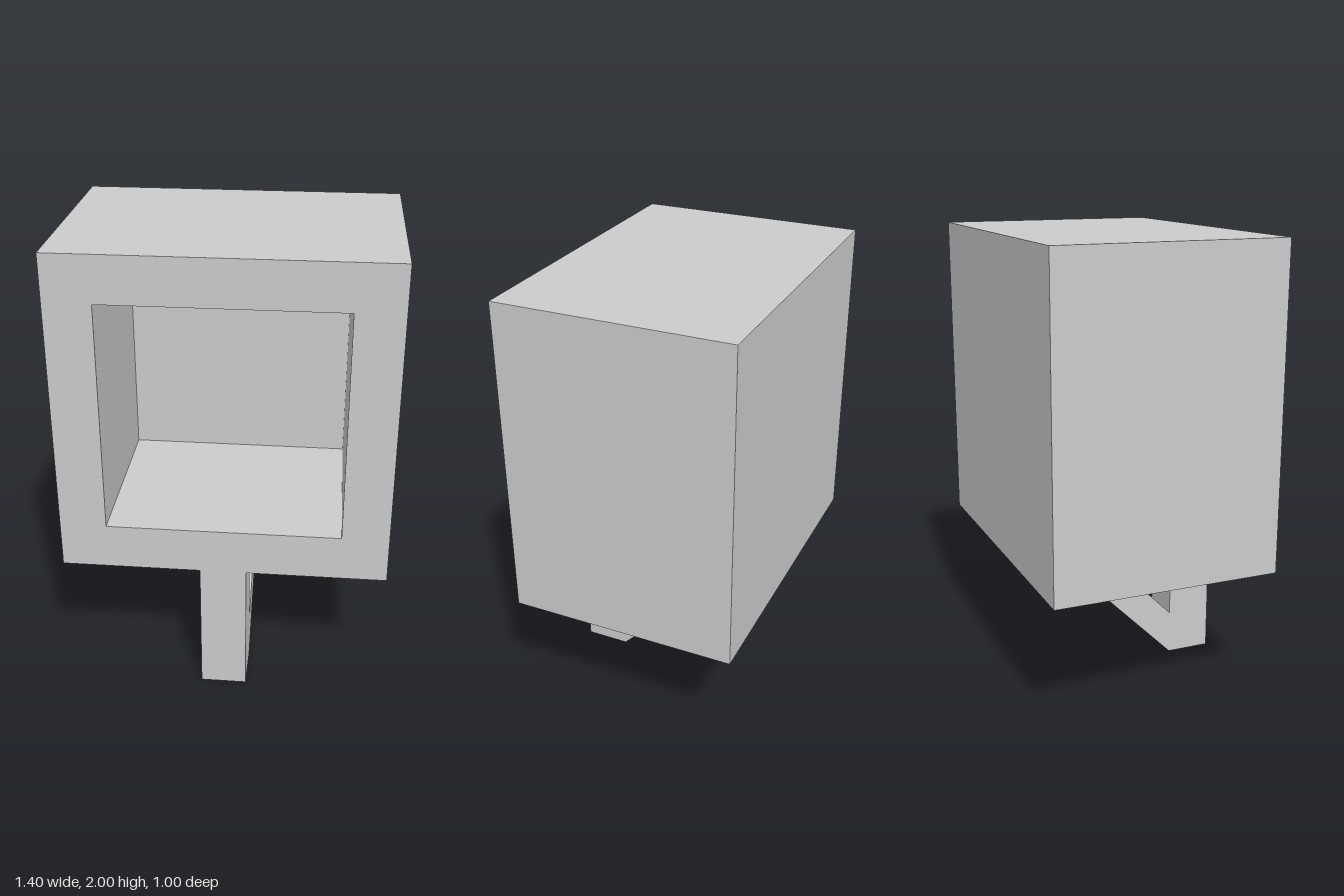
import * as THREE from 'three';

const polygon = (points) => points.map(([x, y]) => new THREE.Vector2(x, y));
const rectangle = (halfWidth, bottom, top) => polygon([
  [-halfWidth, bottom], [halfWidth, bottom], [halfWidth, top], [-halfWidth, top],
]);

export function createModel() {
  const group = new THREE.Group();
  const material = new THREE.MeshStandardMaterial({ color: 0xcccccc });

  const add = (name, geometry) => {
    const mesh = new THREE.Mesh(geometry, material);
    mesh.name = name;
    group.add(mesh);
    return mesh;
  };

  // Thick-walled box, open to the front
  const walls = new THREE.Shape(rectangle(0.7, 0.6, 2));
  walls.holes.push(new THREE.Path(rectangle(0.5, 0.8, 1.8)));
  add('boxWalls', new THREE.ExtrudeGeometry(walls, { depth: 0.8, bevelEnabled: false }))
    .position.z = -0.3;

  // Solid back closing the box
  add('boxBack', new THREE.BoxGeometry(1.4, 1.4, 0.2)).position.set(0, 1.3, -0.4);

  // Front post with a diagonal brace, drawn as a side profile (z, y)
  const bracket = new THREE.Shape(polygon([
    [0.5, 0], [0.5, 0.6], [0.3, 0.6], [0.3, 0.2], [-0.1, 0.6], [-0.3, 0.6], [0.3, 0],
  ]));
  const bracketGeometry = new THREE.ExtrudeGeometry(bracket, { depth: 0.2, bevelEnabled: false });
  bracketGeometry.translate(0, 0, -0.1).rotateY(-Math.PI / 2);
  add('postAndBrace', bracketGeometry);

  return group;
}
